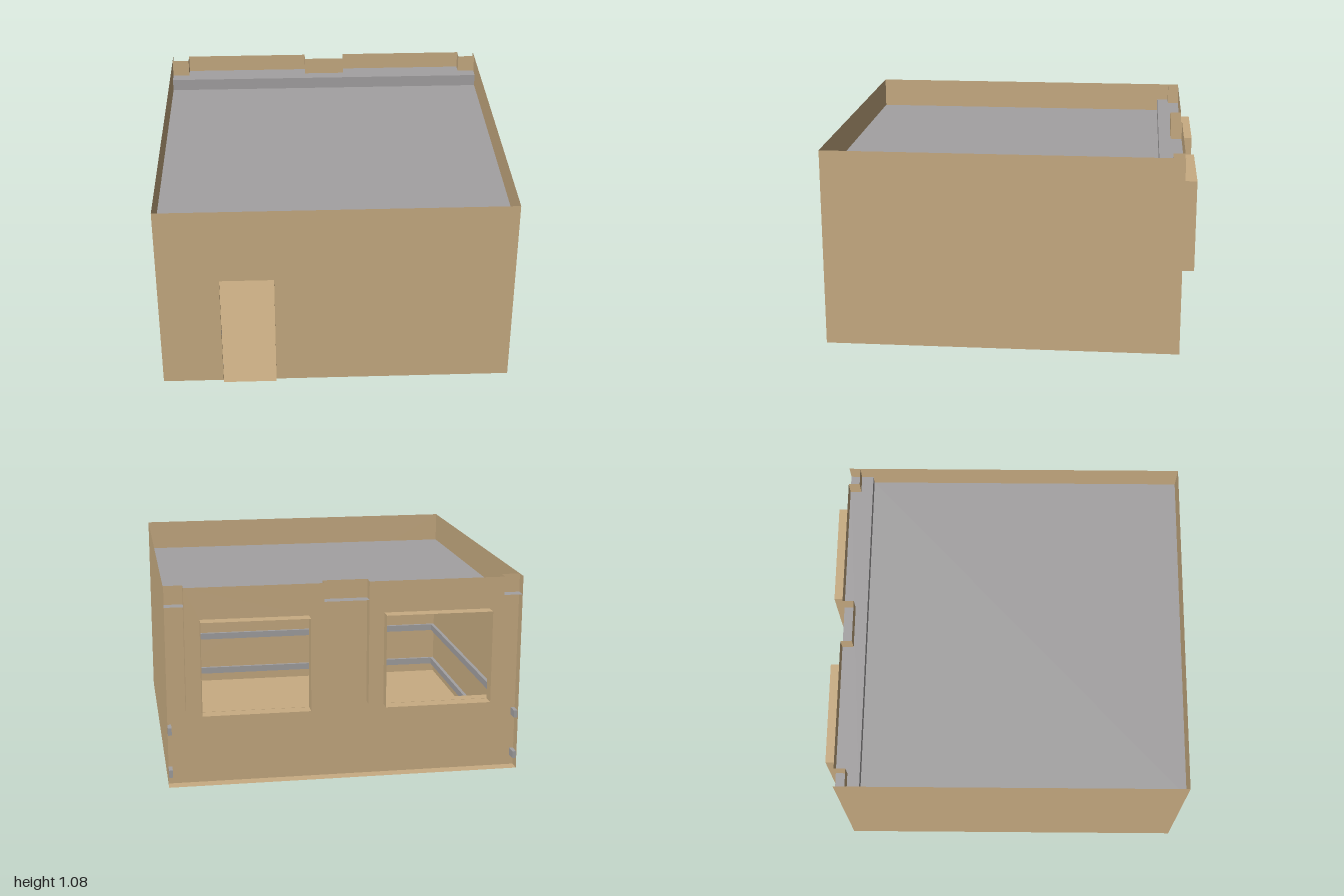
import * as THREE from 'three';

const tan = new THREE.MeshStandardMaterial({ color: 0xc8ac82, side: THREE.DoubleSide });
tan.name = 'tanPlaster';
const grey = new THREE.MeshStandardMaterial({ color: 0xa3a1a2, side: THREE.DoubleSide });
grey.name = 'greyTrim';

const W = 0.95, FRONT = 0.98, BACK = -0.93, WALL = -0.867, H = 1.08;
const DOOR = { x0: -0.62, x1: -0.33, top: 0.655 };
const SILL = 0.41, HEAD = 0.91;

export function createModel() {
  const model = new THREE.Group();

  const add = (name, geo, mat, x = 0, y = 0, z = 0) => {
    const m = new THREE.Mesh(geo, mat);
    m.name = name;
    m.position.set(x, y, z);
    model.add(m);
    return m;
  };
  // Thin sheets: upright along z, and level
  const sideSheet = (name, x, y0, y1, z0, z1, mat = tan) =>
    add(name, new THREE.PlaneGeometry(z1 - z0, y1 - y0).rotateY(Math.PI / 2), mat, x, (y0 + y1) / 2, (z0 + z1) / 2);
  const levelSheet = (name, y, x0, x1, z0, z1, mat = tan) =>
    add(name, new THREE.PlaneGeometry(x1 - x0, z1 - z0).rotateX(-Math.PI / 2), mat, (x0 + x1) / 2, y, (z0 + z1) / 2);
  // Upright sheet facing z, from an outline and an optional hole
  const outline = (pts) => pts.map(([x, y]) => new THREE.Vector2(x, y));
  const wall = (name, z, pts, hole) => {
    const s = new THREE.Shape(outline(pts));
    if (hole) s.holes.push(new THREE.Path(outline(hole)));
    return add(name, new THREE.ShapeGeometry(s), tan, 0, 0, z);
  };
  const rect = (x0, x1, y0, y1) => [[x0, y0], [x1, y0], [x1, y1], [x0, y1]];

  // Floor, side walls and front wall with doorway
  levelSheet('floor', 0, -W, W, BACK, FRONT);
  for (const s of [-1, 1]) sideSheet('sideWall', s * W, 0, H, BACK, FRONT);
  wall('frontWall', FRONT, [
    [-W, 0], [DOOR.x0, 0], [DOOR.x0, DOOR.top], [DOOR.x1, DOOR.top],
    [DOOR.x1, 0], [W, 0], [W, H], [-W, H],
  ]);

  // Door surround
  for (const x of [DOOR.x0, DOOR.x1]) sideSheet('doorJamb', x, 0, DOOR.top, FRONT, 1);
  levelSheet('doorHead', DOOR.top, DOOR.x0, DOOR.x1, FRONT, 1);
  levelSheet('doorStep', 0, DOOR.x0, DOOR.x1, FRONT, 1);

  // Back wall, open behind the two window bays
  const B0 = 0.12, B1 = 0.85;
  wall('backWall', WALL, [
    [-W, 0], [W, 0], [W, H], [B1, H], [B1, SILL], [B0, SILL], [B0, H],
    [-B0, H], [-B0, SILL], [-B1, SILL], [-B1, H], [-W, H],
  ]);

  // Projecting bays with deep window surrounds
  for (const s of [-1, 1]) {
    const [b0, b1] = s > 0 ? [B0, B1] : [-B1, -B0];
    const [w0, w1] = s > 0 ? [0.2, 0.77] : [-0.77, -0.2];
    wall('bayPanel', BACK, rect(b0, b1, SILL, H), rect(w0, w1, SILL + 0.001, HEAD));
    for (const x of [b0, b1]) sideSheet('bayReturn', x, SILL, H, BACK, WALL);
    levelSheet('bayBottom', SILL, b0, b1, BACK, WALL);
    for (const x of [w0, w1]) sideSheet('windowJamb', x, SILL, HEAD, -1, BACK);
    for (const y of [SILL, HEAD]) levelSheet('windowSill', y, w0, w1, -1, BACK);
  }

  // Flat roof below the parapet, stepping up at the back
  levelSheet('roof', 0.91, -W, W, -0.8, FRONT, grey);
  levelSheet('roofLedge', 0.98, -W, W, BACK, -0.8, grey);
  add('roofStep', new THREE.PlaneGeometry(2 * W, 0.07), grey, 0, 0.945, -0.8);

  // Two rails around the inside of the walls
  const T = 0.02, RH = 0.04;
  const rail = (y, x0, x1, z) =>
    add('wallRail', new THREE.BoxGeometry(x1 - x0, RH, T), grey, (x0 + x1) / 2, y, z);
  for (const y of [0.075, 0.31]) {
    for (const s of [-1, 1])
      add('sideRail', new THREE.BoxGeometry(T, RH, FRONT - BACK - 0.004), grey,
        s * (W - T / 2 - 0.002), y, (FRONT + BACK) / 2);
    rail(y, -W + T, W - T, WALL + T / 2 + 0.002);
    rail(y, -W + T, DOOR.x0, FRONT - T / 2 - 0.002);
    rail(y, DOOR.x1, W - T, FRONT - T / 2 - 0.002);
  }
  return model;
}
